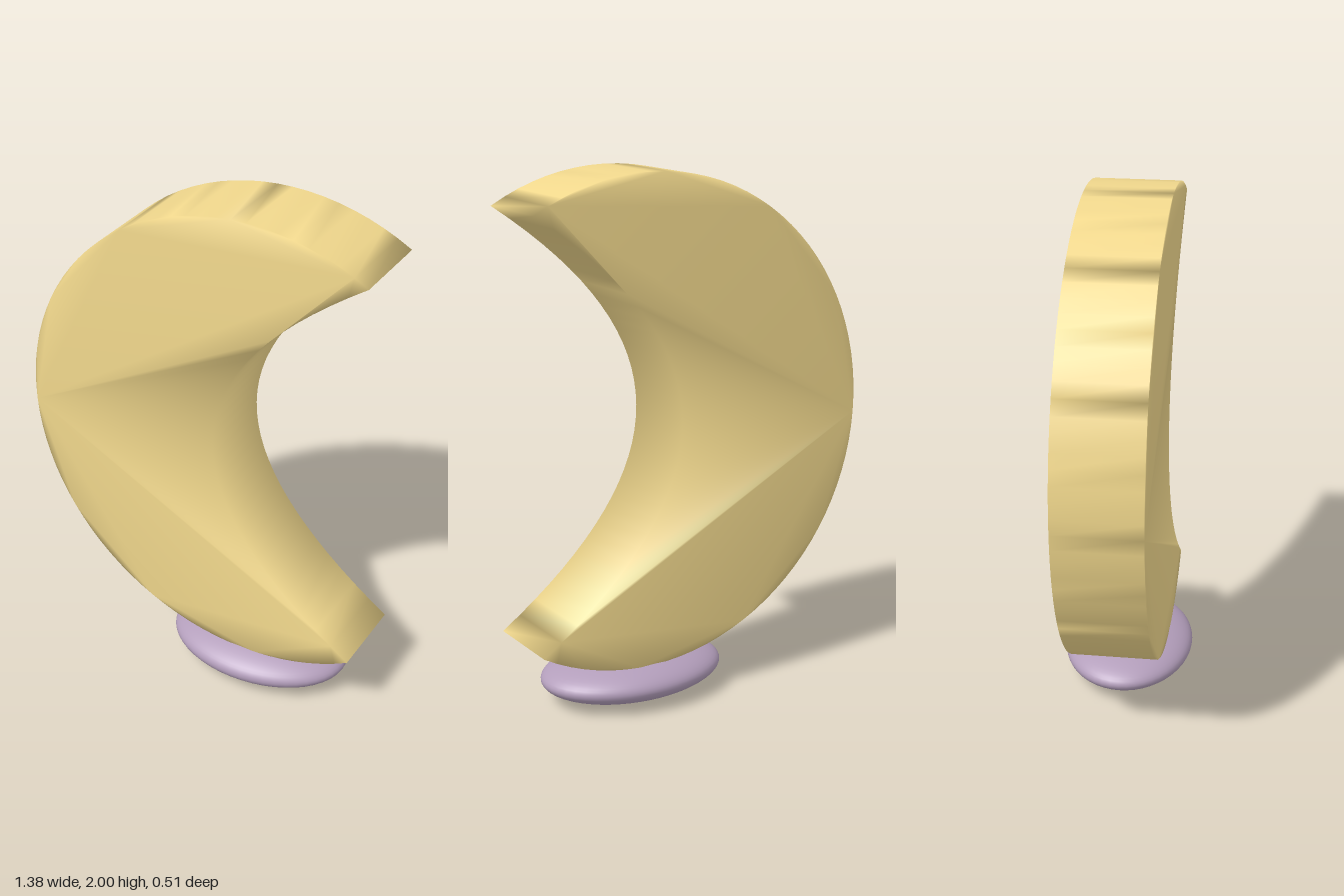
import * as THREE from 'three';
import { mergeVertices } from 'three/addons/utils/BufferGeometryUtils.js';

const RADIUS = 0.922, CX = 0.23, CY = 1.078, DEPTH = 0.33;

// Thick crescent: circular back, parabolic hollow, softly shaded across its edges
function crescentGeometry() {
  const tip = Math.PI / 3;
  const tipX = CX + RADIUS * Math.cos(tip);
  const tipY = CY + RADIUS * Math.sin(tip);
  const shape = new THREE.Shape();
  shape.absarc(CX, CY, RADIUS, tip, 2 * Math.PI - tip, false);
  shape.quadraticCurveTo(-0.49, CY, tipX, tipY);
  const geo = new THREE.ExtrudeGeometry(shape, { depth: DEPTH, bevelEnabled: false, curveSegments: 32 });
  geo.translate(0, 0, -DEPTH / 2);
  // Weld the faces so normals blend over the rim
  geo.deleteAttribute('normal');
  geo.deleteAttribute('uv');
  const welded = mergeVertices(geo, 1e-4);
  welded.computeVertexNormals();
  return welded;
}

export function createModel() {
  const group = new THREE.Group();
  group.name = 'crescentOnBase';

  const crescent = new THREE.Mesh(
    crescentGeometry(),
    new THREE.MeshStandardMaterial({ color: 0xf0d78c })
  );
  crescent.name = 'crescent';

  // Flattened oval foot
  const base = new THREE.Mesh(
    new THREE.SphereGeometry(1, 48, 32),
    new THREE.MeshStandardMaterial({ color: 0xb39ebb })
  );
  base.name = 'base';
  base.scale.set(0.37, 0.09, 0.257);
  base.position.set(CX, 0.09, 0);

  group.add(crescent, base);
  return group;
}
